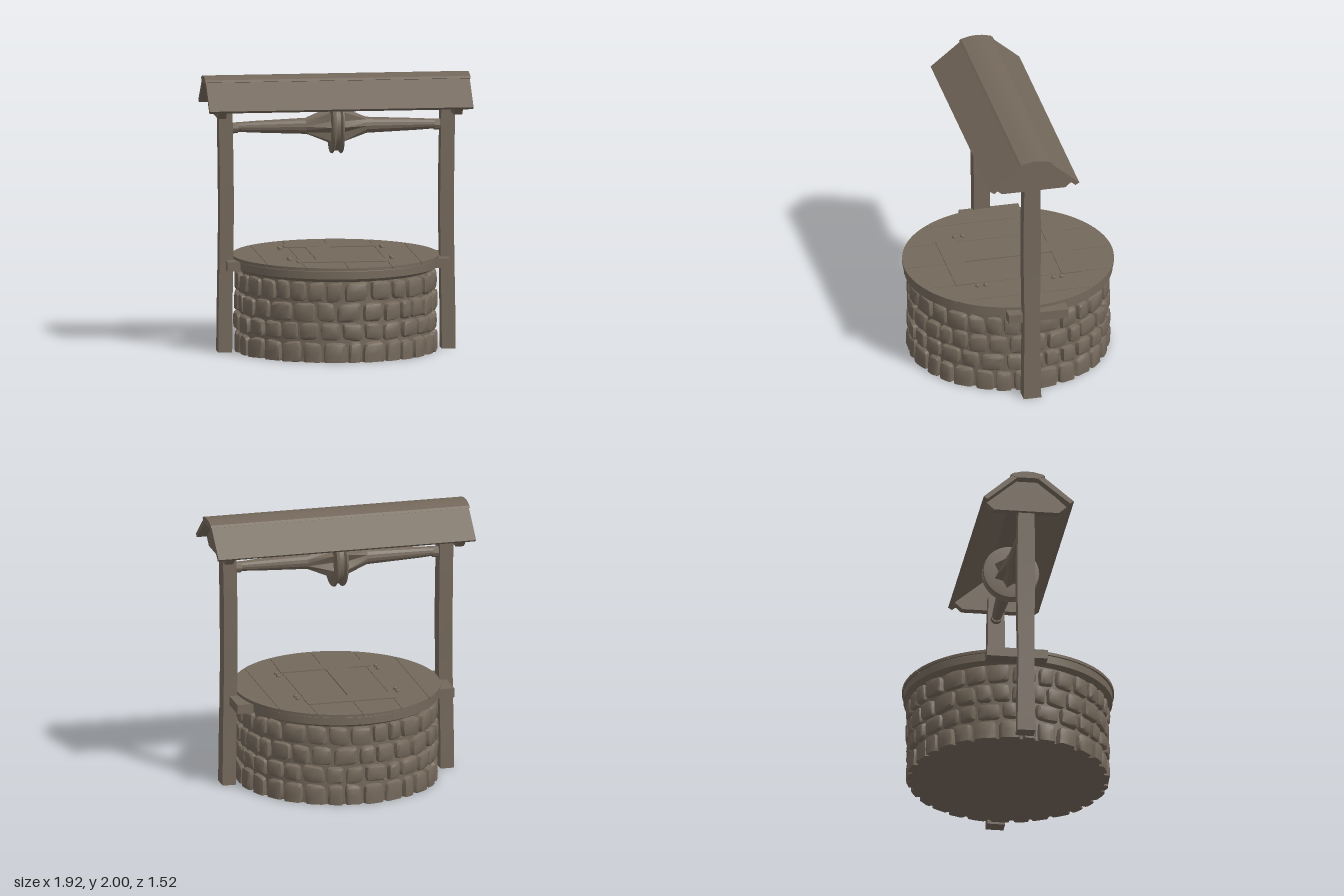
import * as THREE from 'three';
import { mergeGeometries, toCreasedNormals } from 'three/addons/utils/BufferGeometryUtils.js';

export function createModel() {
  const model = new THREE.Group();
  const wood = new THREE.MeshStandardMaterial({ color: 0x74685b });
  wood.name = 'weathered brown';

  let seed = 7;
  const rand = () => (seed = (seed * 16807) % 2147483647) / 2147483647;
  const vary = (a) => (rand() - 0.5) * 2 * a;

  function add(name, geometry, crease = 0.5) {
    const mesh = new THREE.Mesh(toCreasedNormals(geometry, crease), wood);
    mesh.name = name;
    model.add(mesh);
    return mesh;
  }

  // Box given by its limits
  function box(x0, x1, y0, y1, z0, z1) {
    return new THREE.BoxGeometry(x1 - x0, y1 - y0, z1 - z0)
      .translate((x0 + x1) / 2, (y0 + y1) / 2, (z0 + z1) / 2);
  }

  // Prism along x from a [z, y] outline
  function prismX(outline, x0, x1) {
    const shape = new THREE.Shape(outline.map(([z, y]) => new THREE.Vector2(-z, y)));
    return new THREE.ExtrudeGeometry(shape, { depth: x1 - x0, bevelEnabled: false })
      .rotateY(Math.PI / 2).translate(x0, 0, 0);
  }

  // Turned part from [radius, height] points
  const lathe = (points, sides) =>
    new THREE.LatheGeometry(points.map(([r, y]) => new THREE.Vector2(r, y)), sides);

  // One bulging stone wrapped around the wall
  function stone(angle, halfAngle, y, halfHeight) {
    const g = new THREE.PlaneGeometry(2, 2, 6, 6);
    const p = g.attributes.position;
    const spread = (t) => Math.sign(t) * Math.abs(t) ** 0.45;
    const bulge = 0.733 + vary(0.006), tilt = vary(0.007), skew = vary(0.12);
    for (let i = 0; i < p.count; i++) {
      const u = spread(p.getX(i)), v = spread(p.getY(i));
      const m = Math.max(Math.abs(u), Math.abs(v));
      const border = m > 0.99;
      const r = border ? 0.685 : bulge - 0.022 * m ** 4 + tilt * u + vary(0.003);
      const a = angle + halfAngle * (u * (1 - 0.16 * v ** 4) + skew * v * 0.5 + vary(0.03));
      const h = y + halfHeight * (v * (1 - 0.16 * u ** 4) + skew * u + vary(0.03));
      p.setXYZ(i, r * Math.sin(a), Math.max(0, h), r * Math.cos(a));
    }
    return g;
  }

  // Stone wall: solid core and four courses
  add('wallCore', new THREE.CylinderGeometry(0.695, 0.695, 0.62, 64).translate(0, 0.31, 0));
  [[-0.04, 0.147], [0.153, 0.283], [0.289, 0.432], [0.438, 0.585]].forEach(([y0, y1], row) => {
    const widths = Array.from({ length: 29 }, () => 0.7 + rand() * 0.6);
    const total = widths.reduce((a, b) => a + b, 0);
    let angle = row * 0.37;
    const stones = widths.map((w) => {
      const half = (w / total) * Math.PI;
      angle += half * 2;
      return stone(angle - half, half * 0.95, (y0 + y1) / 2 + vary(0.004), (y1 - y0) / 2);
    });
    add('stoneCourse' + (row + 1), mergeGeometries(stones), 0.7);
  });

  // Rim under the lid
  add('rim', lathe([[0.69, 0.58], [0.735, 0.6], [0.752, 0.61], [0.752, 0.665], [0.745, 0.672], [0, 0.672]], 64)
    .scale(0.975, 1, 1));

  // Round lid cut from parallel planks
  const R = 0.762;
  const cuts = [-R, -0.57, -0.31, 0, 0.33, 0.57, R];
  const planks = cuts.slice(1).map((x1, i) => {
    const a = cuts[i] + (i ? 0.002 : 0), b = x1 - (i < 5 ? 0.002 : 0);
    const points = [];
    for (const side of [1, -1]) {
      for (let k = 0; k <= 12; k++) {
        const from = Math.acos(a / R), to = Math.acos(b / R);
        const t = side > 0 ? from + (to - from) * (k / 12) : to + (from - to) * (k / 12);
        points.push(new THREE.Vector2(R * Math.cos(t), side * R * Math.sin(t)));
      }
    }
    return new THREE.ExtrudeGeometry(new THREE.Shape(points), { depth: 0.022, bevelEnabled: false })
      .rotateX(-Math.PI / 2).translate(0, 0.67, 0);
  });
  add('lidPlanks', mergeGeometries(planks).scale(0.975, 1, 1));

  // Lid battens and bolts
  for (const s of [1, -1]) {
    add('lidBatten', box(-0.33, 0.33, 0.69, 0.699, s * 0.39 - 0.07, s * 0.39 + 0.07));
    for (const x of [-0.37, 0.37]) {
      for (const z of [0.25, 0.31]) {
        add('lidBolt', new THREE.SphereGeometry(0.017, 8, 6).translate(x, 0.696, s * z));
      }
    }
  }
  add('lidCrossBoard', box(-0.18, 0, 0.69, 0.698, -0.32, 0.32));

  // Posts, side clamps and gable ends
  const gable = [[0.25, 1.72], [-0.22, 1.72], [-0.275, 1.77], [-0.08, 1.95], [0.11, 1.95], [0.305, 1.77]];
  for (const s of [1, -1]) {
    const side = s > 0 ? 'left' : 'right';
    const post = new THREE.BoxGeometry(0.1, 1.8, 0.122, 1, 8, 1).translate(s * 0.803, 0.9, 0.018);
    const p = post.attributes.position;
    for (let i = 0; i < p.count; i++) {
      const y = p.getY(i);
      p.setX(i, p.getX(i) + s * 0.006 * Math.cos(y * 3));
      p.setZ(i, 0.018 + (p.getZ(i) - 0.018) * (1 + 0.06 * Math.cos(y * 5)));
    }
    add(side + 'Post', post);
    const [c0, c1] = s > 0 ? [0.6, 0.805] : [-0.805, -0.6];
    add(side + 'Clamp', box(c0, c1, 0.6, 0.668, -0.26, 0.18));
    const [g0, g1] = s > 0 ? [0.825, 0.885] : [-0.885, -0.825];
    add(side + 'Gable', prismX(gable, g0, g1));
  }

  // Roof slopes and ridge cap
  add('frontRoofSlope', prismX([[0.35, 1.786], [0.322, 1.768], [0.09, 1.95], [0.115, 1.978]], -0.955, 0.955));
  add('backRoofSlope', prismX([[-0.305, 1.786], [-0.277, 1.768], [-0.06, 1.95], [-0.085, 1.978]], -0.955, 0.955));
  add('ridgeCap', prismX([[0.14, 1.968], [0.125, 1.982], [0.06, 1.997], [0.015, 2], [-0.03, 1.997],
    [-0.095, 1.982], [-0.11, 1.968], [-0.06, 1.95], [0.09, 1.95]], -0.96, 0.96));

  // Hewn axle swelling to a ribbed hub
  const half = [[0.032, 0.76], [0.034, 0.72], [0.042, 0.6], [0.058, 0.22], [0.13, 0.05]];
  const profile = [[0, -0.76], ...half.map(([r, y]) => [r, -y]), ...half.slice().reverse(), [0, 0.76]];
  const axle = lathe(profile, 14);
  const ap = axle.attributes.position;
  for (let i = 0; i < ap.count; i++) {
    const rib = Math.floor(i / profile.length) % 2 && Math.abs(ap.getY(i)) < 0.1 ? 0.7 : 1;
    ap.setXYZ(i, ap.getX(i) * rib, ap.getY(i), ap.getZ(i) * rib);
  }
  add('axle', axle.rotateZ(-Math.PI / 2).translate(0, 1.625, 0.015), 0.3);
  for (const x of [-0.735, 0.735]) {
    add('axleCollar', new THREE.CylinderGeometry(0.04, 0.04, 0.05, 10).rotateZ(Math.PI / 2).translate(x, 1.62, 0.015));
  }

  // Grooved pulley wheel
  add('pulleyWheel', lathe([[0, -0.046], [0.17, -0.046], [0.2, -0.042], [0.205, -0.03], [0.185, -0.015],
    [0.185, 0.015], [0.205, 0.03], [0.2, 0.042], [0.17, 0.046], [0, 0.046]], 32)
    .rotateZ(-Math.PI / 2).translate(0, 1.628, 0.018));

  return model;
}
